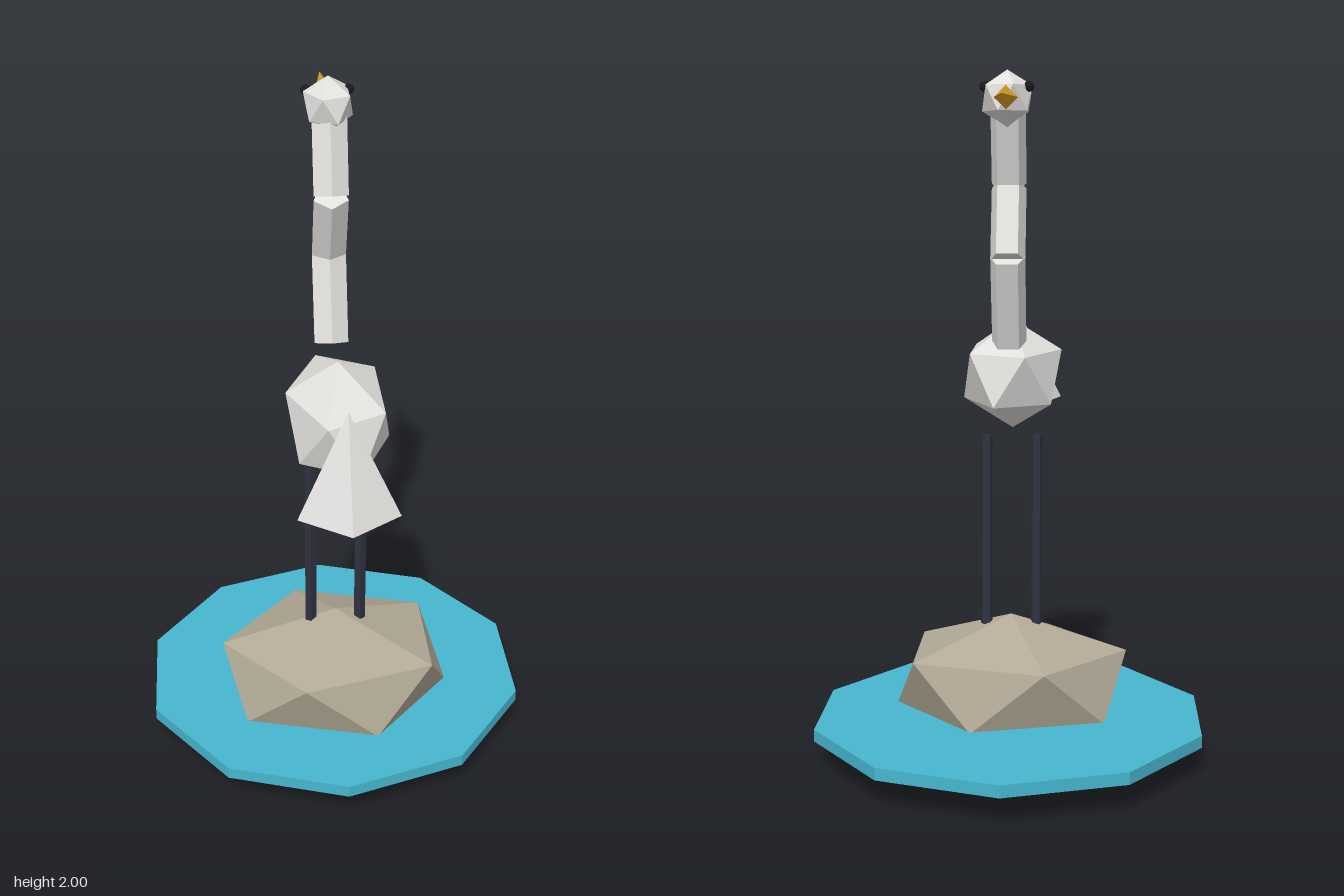
import * as THREE from 'three';

const flat = (name, color) => {
  const m = new THREE.MeshStandardMaterial({ color, flatShading: true });
  m.name = name;
  return m;
};

export function createModel() {
  const model = new THREE.Group();
  model.name = 'wadingBird';

  const feather = flat('feather grey', 0xe2e1de);
  const water = flat('water blue', 0x46b6ce);
  const stone = flat('stone', 0xb2a996);
  const gold = flat('beak gold', 0xd9a02c);
  const slate = flat('leg slate', 0x2f3340);
  const black = flat('eye black', 0x1b1b1d);

  const add = (name, geometry, material, x, y, z) => {
    const mesh = new THREE.Mesh(geometry, material);
    mesh.name = name;
    mesh.position.set(x, y, z);
    model.add(mesh);
    return mesh;
  };

  // Icosahedron standing on one corner, stretched along each axis
  const gem = (name, material, y, z, rx, ry, rz) => {
    const g = new THREE.IcosahedronGeometry(1, 0);
    g.rotateX(-Math.atan((1 + Math.sqrt(5)) / 2));
    g.rotateY(-Math.PI / 2);
    g.scale(rx, ry, rz);
    return add(name, g, material, 0, y, z);
  };

  // Straight rod or spike between two [y, z] points at a fixed x
  const rod = (name, material, x, from, to, rFrom, rTo, sides) => {
    const dy = to[0] - from[0], dz = to[1] - from[1];
    const g = new THREE.CylinderGeometry(rTo, rFrom, Math.hypot(dy, dz), sides);
    const mesh = add(name, g, material, x, (from[0] + to[0]) / 2, (from[1] + to[1]) / 2);
    mesh.rotation.x = Math.atan2(dz, dy);
    return mesh;
  };

  // Pond and rock
  add('pond', new THREE.CylinderGeometry(0.592, 0.592, 0.036, 10), water, 0, 0.097, -0.03);
  gem('rock', stone, 0.198, 0.06, 0.39, 0.198, 0.323);

  // Body and tail
  gem('body', feather, 1.12, 0.15, 0.165, 0.165, 0.279);
  rod('tail', feather, 0, [1.0, 0.474], [1.294, 0.474], 0.147, 0, 5);

  // Neck in three bent segments
  rod('lowerNeck', feather, 0, [1.236, -0.083], [1.482, -0.171], 0.052, 0.052, 5);
  rod('middleNeck', feather, 0, [1.482, -0.171], [1.682, -0.087], 0.052, 0.052, 5);
  rod('upperNeck', feather, 0, [1.685, -0.087], [1.9, -0.152], 0.052, 0.052, 5);

  // Head and beak
  gem('head', feather, 1.922, -0.18, 0.078, 0.078, 0.108);
  rod('beak', gold, 0, [1.922, -0.24], [1.922, -0.5], 0.036, 0, 4);

  // Legs and eyes, mirrored
  for (const side of [1, -1]) {
    rod('leg', slate, side * 0.075, [0.365, 0.062], [0.94, 0.092], 0.018, 0.018, 5);
    add('eye', new THREE.IcosahedronGeometry(0.015, 1), black, side * 0.061, 1.953, -0.208);
  }

  return model;
}
